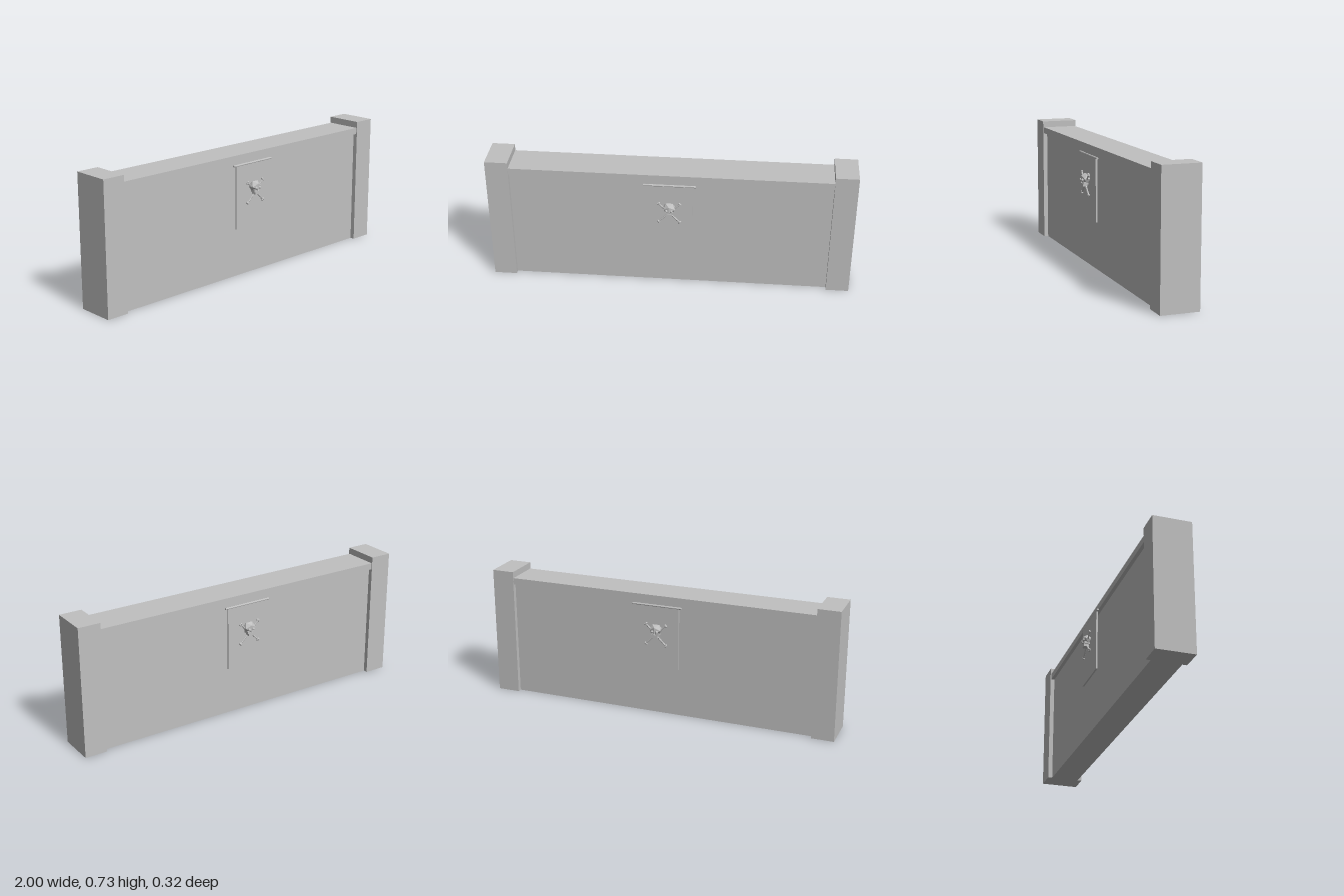
import * as THREE from 'three';

export function createModel() {
  const model = new THREE.Group();
  const stone = new THREE.MeshStandardMaterial({ color: 0xc0c0c0, flatShading: true });
  stone.name = 'grey stone';

  const add = (parent, name, geometry, x, y, z) => {
    const mesh = new THREE.Mesh(geometry, stone);
    mesh.name = name;
    mesh.position.set(x, y, z);
    parent.add(mesh);
    return mesh;
  };
  const box = (w, h, d) => new THREE.BoxGeometry(w, h, d);

  // Wall: recessed panel, overhanging coping and two end posts
  add(model, 'wallPanel', box(1.75, 0.655, 0.16), 0, 0.3275, 0);
  add(model, 'coping', box(1.75, 0.037, 0.2), 0, 0.6715, 0);
  for (const side of [-1, 1]) {
    add(model, side > 0 ? 'leftPost' : 'rightPost', box(0.125, 0.726, 0.21), side * 0.9375, 0.363, 0);
  }

  // One hanging banner with a skull and crossed bones, built facing +z
  const makeBanner = (name) => {
    const banner = new THREE.Group();
    banner.name = name;
    add(banner, 'cloth', box(0.252, 0.355, 0.009), 0, 0.4605, 0.1125);
    add(banner, 'rod', new THREE.CylinderGeometry(0.006, 0.006, 0.282, 8), 0, 0.637, 0.1125).rotation.z = Math.PI / 2;

    // Crossed bones with double knobs at each end
    for (const tilt of [-1, 1]) {
      const bone = new THREE.Group();
      bone.name = 'bone';
      bone.position.set(0, 0.479, 0.133);
      bone.rotation.z = tilt * Math.PI / 4;
      add(bone, 'shaft', new THREE.CylinderGeometry(0.0045, 0.0045, 0.165, 6), 0, 0, 0);
      for (const end of [-1, 1]) for (const s of [-1, 1]) {
        add(bone, 'knob', new THREE.IcosahedronGeometry(0.0065, 1), s * 0.004, end * 0.081, 0);
      }
      banner.add(bone);
    }

    // Faceted skull
    const cranium = add(banner, 'cranium', new THREE.IcosahedronGeometry(0.035, 0), 0, 0.508, 0.13);
    cranium.scale.set(1.05, 0.95, 0.9);
    add(banner, 'cheeks', box(0.044, 0.014, 0.03), 0, 0.485, 0.136);
    add(banner, 'jaw', box(0.032, 0.018, 0.028), 0, 0.474, 0.139);
    for (const side of [-1, 1]) {
      add(banner, 'eye', new THREE.IcosahedronGeometry(0.008, 1), side * 0.013, 0.502, 0.154);
    }
    const nose = add(banner, 'nose', new THREE.ConeGeometry(0.006, 0.012, 4), 0, 0.492, 0.155);
    nose.rotation.y = Math.PI / 4;
    return banner;
  };

  const front = makeBanner('frontBanner');
  const back = makeBanner('backBanner');
  back.rotation.y = Math.PI;
  model.add(front, back);
  return model;
}
